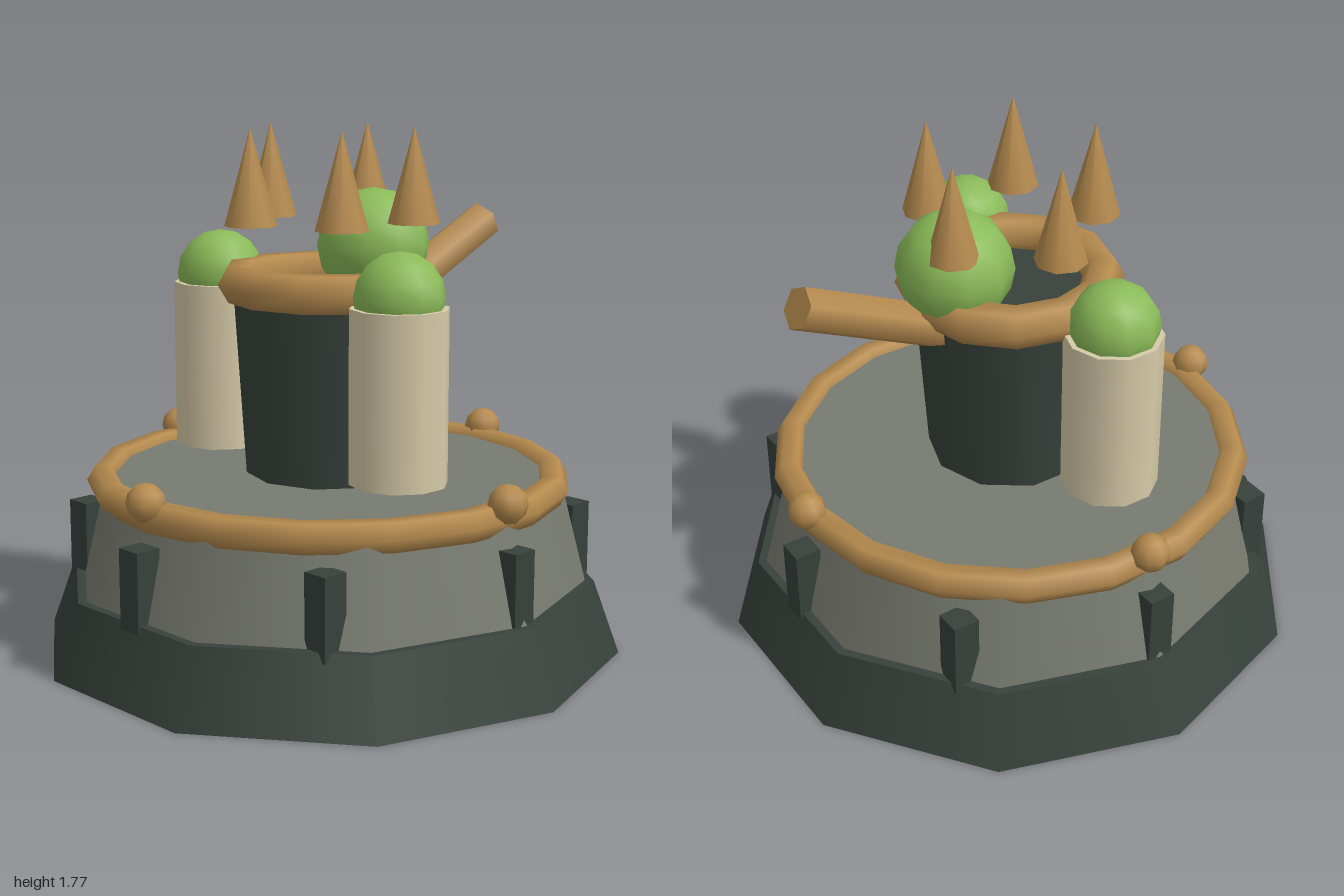
import * as THREE from 'three';

const mat = (name, color) => {
  const m = new THREE.MeshStandardMaterial({ color });
  m.name = name;
  return m;
};

export function createModel() {
  const root = new THREE.Group();
  root.name = 'turretPlatform';

  const dark = mat('dark iron', 0x37413b);
  const stone = mat('grey stone', 0x787b70);
  const wood = mat('brown wood', 0xb58a4e);
  const cream = mat('cream', 0xd6caa8);
  const green = mat('leaf green', 0x8aba58);

  const add = (name, geometry, material, x = 0, y = 0, z = 0) => {
    const mesh = new THREE.Mesh(geometry, material);
    mesh.name = name;
    mesh.position.set(x, y, z);
    root.add(mesh);
    return mesh;
  };
  // Upright tapered cylinder between two heights
  const drum = (name, rTop, rBottom, y0, y1, material, x = 0, z = 0, start = 0) =>
    add(name, new THREE.CylinderGeometry(rTop, rBottom, y1 - y0, 10, 1, false, start),
      material, x, (y0 + y1) / 2, z);
  // Horizontal ring with a six-sided section
  const ring = (name, radius, tube, segments, y) =>
    add(name, new THREE.TorusGeometry(radius, tube, 6, segments).rotateX(Math.PI / 2), wood, 0, y, 0);

  // Stepped ten-sided platform with a wooden rim
  drum('base', 0.91, 1, 0, 0.25, dark);
  drum('deck', 0.79, 0.88, 0.25, 0.6, stone);
  ring('deckRim', 0.77, 0.055, 18, 0.578);

  // Square posts around the deck
  for (let i = 0; i < 8; i++) {
    const a = (i * Math.PI) / 4;
    add('post', new THREE.BoxGeometry(0.09, 0.27, 0.09), dark,
      0.83 * Math.sin(a), 0.355, 0.83 * Math.cos(a));
  }

  // Knobs on the rim
  for (let i = 0; i < 4; i++) {
    const a = (i * Math.PI) / 2;
    add('rimKnob', new THREE.SphereGeometry(0.065, 8, 6), wood,
      0.8 * Math.sin(a), 0.63, 0.8 * Math.cos(a));
  }

  // Central tower, with corners pointing sideways
  drum('tower', 0.322, 0.283, 0.6, 1.22, dark, 0, 0, Math.PI / 2);
  ring('towerRing', 0.31, 0.07, 12, 1.25);

  // Domed side columns
  for (const side of [1, -1]) {
    drum('sideColumn', 0.162, 0.162, 0.65, 1.22, cream, -0.108, 0.43 * side, Math.PI / 2);
    add('columnDome', new THREE.SphereGeometry(0.15, 10, 8), green, -0.108, 1.25, 0.43 * side);
  }

  // Large ball on top of the tower
  add('towerBall', new THREE.SphereGeometry(0.195, 10, 8), green, 0.213, 1.358, 0);

  // Six-sided barrel, tilted up towards +x
  const tilt = 0.443, length = 0.66;
  const barrel = add('barrel',
    new THREE.CylinderGeometry(0.073, 0.073, length, 6, 1, false, Math.PI / 2), wood,
    0.78 - (length / 2) * Math.cos(tilt), 1.396 - (length / 2) * Math.sin(tilt), 0);
  barrel.rotation.z = tilt - Math.PI / 2;

  // Crown of floating spikes
  for (let i = 0; i < 5; i++) {
    const a = Math.PI + (i * Math.PI * 2) / 5;
    add('spike', new THREE.ConeGeometry(0.087, 0.32, 8), wood,
      0.285 * Math.sin(a), 1.61, 0.285 * Math.cos(a));
  }

  return root;
}
